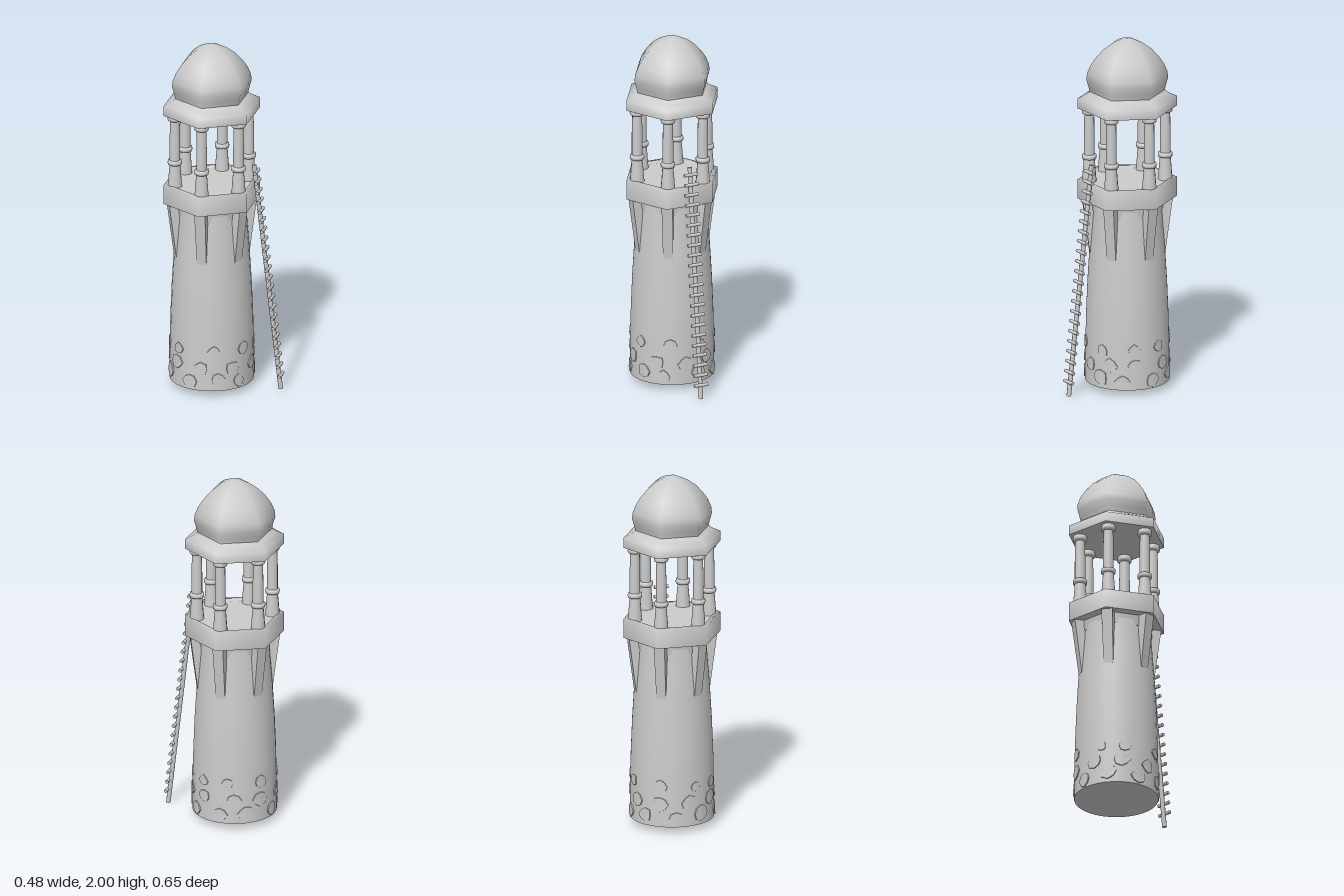
import * as THREE from 'three';

const material = new THREE.MeshStandardMaterial({ color: 0xcccccc, side: THREE.DoubleSide });
const stoneMaterial = new THREE.MeshStandardMaterial({ color: 0xcccccc, flatShading: true });

function add(parent, name, geometry, mat = material) {
  const mesh = new THREE.Mesh(geometry, mat);
  mesh.name = name;
  parent.add(mesh);
  return mesh;
}

// Profile of [radius, y] pairs listed from bottom to top
function lathe(profile, sides) {
  return new THREE.LatheGeometry(profile.map(([r, y]) => new THREE.Vector2(r, y)), sides);
}

function group(parent, name) {
  const g = new THREE.Group();
  g.name = name;
  parent.add(g);
  return g;
}

function seeded(seed) {
  return () => {
    seed = (seed * 16807) % 2147483647;
    return seed / 2147483647;
  };
}

const towerRadius = (y) => 0.233 - 0.005 * (y / 0.4);

// Irregular flat stone wrapped onto the round wall
function stoneGeometry(angle, y, size, random) {
  const sides = 8;
  const jitter = Array.from({ length: sides }, () => 0.82 + random() * 0.3);
  const geo = new THREE.CylinderGeometry(0.93, 1, 1, sides, 1).rotateX(Math.PI / 2);
  const pos = geo.attributes.position;
  for (let i = 0; i < pos.count; i++) {
    const a = Math.atan2(pos.getY(i), pos.getX(i));
    const k = (Math.round((a / (2 * Math.PI)) * sides) + sides) % sides;
    const h = y + pos.getY(i) * size * jitter[k] * 0.95;
    const r = towerRadius(h) + pos.getZ(i) * 0.012;
    const t = angle + (pos.getX(i) * size * jitter[k]) / towerRadius(h);
    pos.setXYZ(i, r * Math.sin(t), h, r * Math.cos(t));
  }
  geo.computeVertexNormals();
  return geo;
}

// Tapered bracket, leaning out from the wall to the balcony
function bracketGeometry() {
  const geo = new THREE.BoxGeometry(1, 1, 1);
  const pos = geo.attributes.position;
  for (let i = 0; i < pos.count; i++) {
    const top = pos.getY(i) > 0;
    const outer = pos.getZ(i) > 0;
    const half = top ? 0.031 : 0.027;
    const z = outer ? (top ? 0.25 : 0.209) : (top ? 0.17 : 0.185);
    pos.setXYZ(i, Math.sign(pos.getX(i)) * half, top ? 1.085 : 0.77, z);
  }
  geo.computeVertexNormals();
  return geo;
}

export function createModel() {
  const model = new THREE.Group();
  model.name = 'watchtower';
  const tower = group(model, 'tower');
  tower.position.z = -0.05;

  // Round shaft
  add(tower, 'shaft', lathe([[0.233, 0.035], [0.232, 0.2], [0.228, 0.4], [0.22, 0.6], [0.208, 0.8], [0.196, 0.95], [0.19, 1.05]], 32));
  add(tower, 'shaftBottom', new THREE.CircleGeometry(0.233, 32).rotateX(Math.PI / 2)).position.y = 0.035;

  // Stones around the foot
  const random = seeded(77);
  const stones = group(tower, 'stones');
  const rows = [[0.09, 9, 0.044], [0.165, 9, 0.046], [0.265, 8, 0.036]];
  rows.forEach(([y, count, size], row) => {
    for (let i = 0; i < count; i++) {
      const angle = ((i + row * 0.5 + (random() - 0.5) * 0.25) / count) * Math.PI * 2;
      const s = size * (0.85 + random() * 0.3);
      add(stones, 'stone', stoneGeometry(angle, y + (random() - 0.5) * 0.025, s, random), stoneMaterial);
    }
  });

  // Hexagonal balcony
  const balcony = group(tower, 'balcony');
  add(balcony, 'collar', lathe([[0.212, 1.02], [0.216, 1.085]], 6));
  add(balcony, 'collarUnderside', lathe([[0, 1.02], [0.212, 1.02]], 6));
  add(balcony, 'balconyUnderside', lathe([[0.2, 1.08], [0.275, 1.08]], 6));
  add(balcony, 'balconyRim', lathe([[0.275, 1.08], [0.275, 1.19], [0.245, 1.19], [0.24, 1.18]], 6));
  add(balcony, 'floor', lathe([[0.245, 1.18], [0, 1.18]], 6));

  // Columns and brackets at the six corners
  const bracket = bracketGeometry();
  const base = lathe([[0.041, 1.175], [0.038, 1.21], [0.031, 1.3], [0.03, 1.312]], 12);
  const ring = lathe([[0.03, 1.308], [0.039, 1.311], [0.041, 1.322], [0.039, 1.334], [0.028, 1.337]], 12);
  const post = lathe([[0.03, 1.33], [0.03, 1.45], [0.027, 1.575]], 12);
  const capital = lathe([[0.027, 1.567], [0.038, 1.571], [0.041, 1.58], [0.039, 1.592], [0.034, 1.605]], 12);
  for (let i = 0; i < 6; i++) {
    const corner = group(tower, 'corner');
    corner.rotation.y = (i * Math.PI) / 3;
    add(corner, 'bracket', bracket);
    const column = group(corner, 'column');
    column.position.z = 0.21;
    add(column, 'columnBase', base);
    add(column, 'columnRing', ring);
    add(column, 'columnPost', post);
    add(column, 'columnCapital', capital);
  }

  // Roof slab and hexagonal onion dome
  const roof = group(tower, 'roof');
  add(roof, 'roofUnderside', lathe([[0, 1.602], [0.275, 1.602]], 6));
  add(roof, 'roofSlab', lathe([[0.275, 1.602], [0.275, 1.658], [0.225, 1.682], [0.208, 1.697]], 6));
  add(roof, 'dome', lathe([[0.208, 1.697], [0.214, 1.725], [0.226, 1.765], [0.223, 1.8], [0.205, 1.845],
    [0.175, 1.89], [0.135, 1.935], [0.085, 1.972], [0.04, 1.992], [0, 2]], 6));

  // Single-pole ladder leaning on one face of the balcony
  const ladder = group(tower, 'ladder');
  ladder.rotation.y = Math.PI / 6;
  const foot = new THREE.Vector3(0, 0.002, 0.394);
  const head = new THREE.Vector3(0, 1.31, 0.242);
  const lean = Math.atan2(head.z - foot.z, head.y - foot.y);
  const pole = add(ladder, 'ladderPole', new THREE.CylinderGeometry(0.013, 0.013, foot.distanceTo(head), 8));
  pole.position.lerpVectors(foot, head, 0.5);
  pole.rotation.x = lean;
  const rung = new THREE.CylinderGeometry(0.01, 0.01, 0.08, 8).rotateZ(Math.PI / 2);
  for (let i = 0; i < 22; i++) {
    const step = add(ladder, 'rung', rung);
    step.position.lerpVectors(foot, head, (0.08 + i * 0.0567) / 1.31);
    step.position.z += 0.01;
  }
  return model;
}
